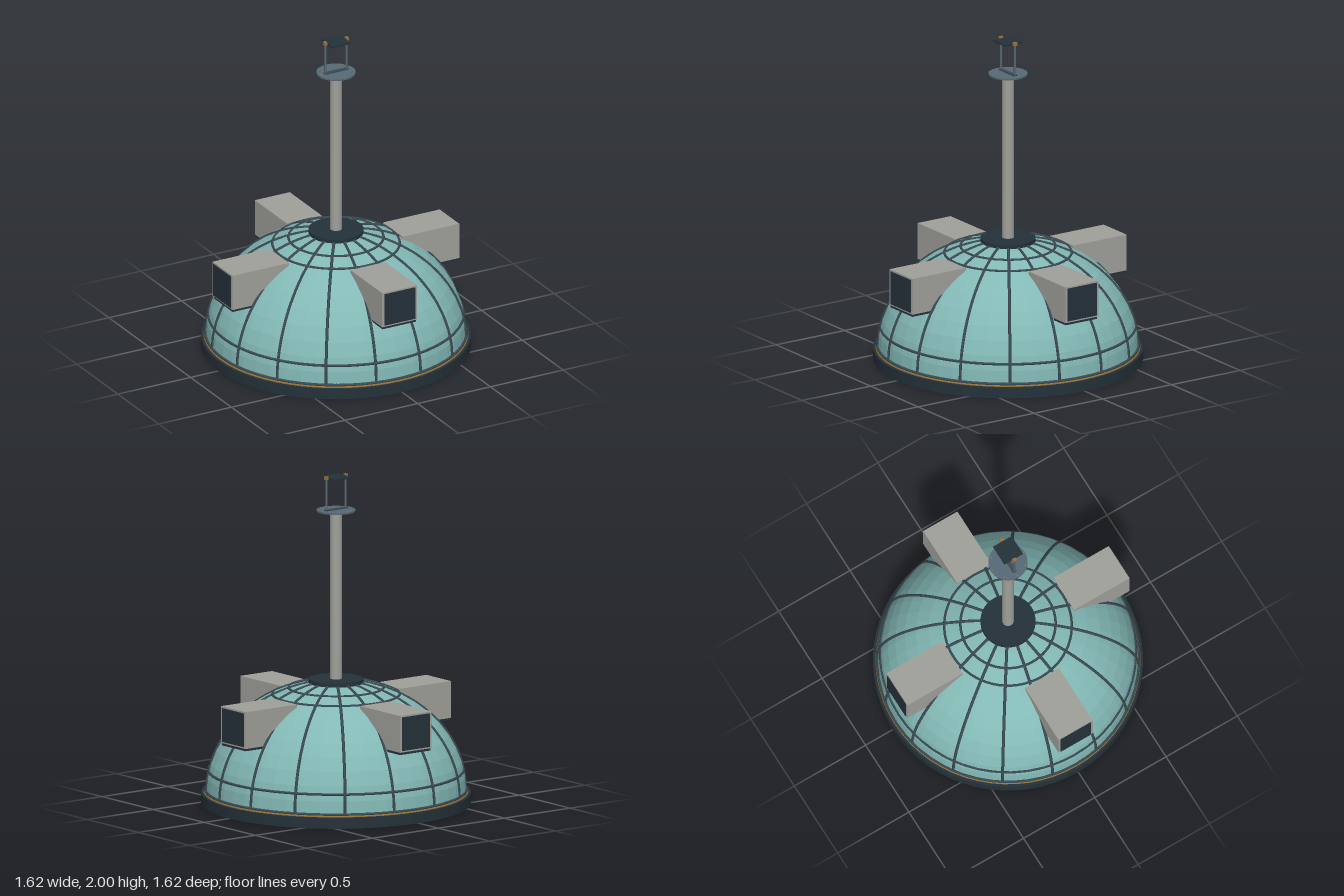
import * as THREE from 'three';

const mat = (color, flatShading = false) => {
  const m = new THREE.MeshStandardMaterial({ color });
  m.flatShading = flatShading;
  return m;
};
const teal = mat(0x82b8b5, true);
const dark = mat(0x24313a);
const steel = mat(0x3a4a52);
const slate = mat(0x566975);
const grey = mat(0xa0a09b);
const brass = mat(0x9a7438);

// Dome is half an ellipsoid
const R = 0.78, H = 0.68, Y0 = 0.07;
const domeRadius = (y) => R * Math.sqrt(1 - ((y - Y0) / H) ** 2);

function add(parent, name, geometry, material, x = 0, y = 0, z = 0) {
  const mesh = new THREE.Mesh(geometry, material);
  mesh.name = name;
  mesh.position.set(x, y, z);
  parent.add(mesh);
  return mesh;
}

const cyl = (r, h, n = 32) => new THREE.CylinderGeometry(r, r, h, n);
const box = (w, h, d) => new THREE.BoxGeometry(w, h, d);

function hoop(parent, name, r, y, tube, material) {
  add(parent, name, new THREE.TorusGeometry(r, tube, 6, 64), material, 0, y, 0).rotation.x = Math.PI / 2;
}

function createDome() {
  const g = new THREE.Group();
  g.name = 'dome';
  const shell = new THREE.SphereGeometry(1, 48, 12, 0, Math.PI * 2, 0, Math.PI / 2);
  shell.scale(R, H, R);
  add(g, 'domeShell', shell, teal, 0, Y0, 0);

  // Sixteen meridian ribs
  const points = [];
  for (let i = 0; i <= 12; i++) {
    const a = (i / 12) * 1.36;
    points.push(new THREE.Vector3(R * Math.cos(a), Y0 + H * Math.sin(a), 0));
  }
  const rib = new THREE.TubeGeometry(new THREE.CatmullRomCurve3(points), 24, 0.009, 6);
  for (let i = 0; i < 16; i++) {
    add(g, 'meridianRib', rib, steel).rotation.y = ((i + 0.5) / 16) * Math.PI * 2;
  }
  // Horizontal rings
  for (const y of [0.2, 0.663, 0.703]) hoop(g, 'latitudeRing', domeRadius(y), y, 0.008, steel);
  return g;
}

// Box-shaped bay projecting through the dome, facing +z
function createBay() {
  const g = new THREE.Group();
  g.name = 'bay';
  add(g, 'bayHousing', box(0.24, 0.225, 0.39), grey, 0, 0.5525, 0.585);
  add(g, 'bayFloor', box(0.23, 0.02, 0.38), dark, 0, 0.435, 0.585);
  add(g, 'bayWindow', box(0.21, 0.205, 0.012), dark, 0, 0.5525, 0.779);
  return g;
}

function createMast() {
  const g = new THREE.Group();
  g.name = 'mast';
  add(g, 'mastPole', cyl(0.036, 1.02, 20), grey, 0, 1.265, 0);
  add(g, 'mastCollar', cyl(0.045, 0.014, 20), steel, 0, 1.772, 0);
  add(g, 'platform', cyl(0.118, 0.01, 24), slate, 0, 1.785, 0);
  // Bolts around the platform edge
  for (let i = 0; i < 8; i++) {
    const a = (i / 8) * Math.PI * 2;
    add(g, 'platformBolt', cyl(0.005, 0.006, 8), brass, 0.106 * Math.cos(a), 1.79, 0.106 * Math.sin(a));
  }
  // Fork holding the tilting panel
  add(g, 'forkBase', box(0.16, 0.008, 0.025), steel, 0, 1.793, 0);
  for (const s of [-1, 1]) {
    add(g, 'forkPost', cyl(0.007, 0.2, 10), slate, s * 0.073, 1.889, 0);
    add(g, 'pivot', box(0.018, 0.02, 0.024), brass, s * 0.074, 1.99, 0);
  }
  add(g, 'panel', box(0.13, 0.01, 0.13), dark, 0, 1.987, 0);
  return g;
}

export function createModel() {
  const model = new THREE.Group();
  model.name = 'domedStation';

  // Foundation and trim
  add(model, 'base', cyl(0.81, 0.066, 64), dark, 0, 0.033, 0);
  hoop(model, 'brassTrim', 0.787, 0.068, 0.008, brass);
  hoop(model, 'footRing', 0.783, 0.08, 0.009, steel);

  model.add(createDome());
  for (let i = 0; i < 4; i++) {
    const bay = createBay();
    bay.rotation.y = (i * Math.PI) / 2;
    model.add(bay);
  }

  // Cap plate and mast
  add(model, 'capPlate', cyl(0.165, 0.024, 40), dark, 0, 0.746, 0);
  model.add(createMast());
  return model;
}
